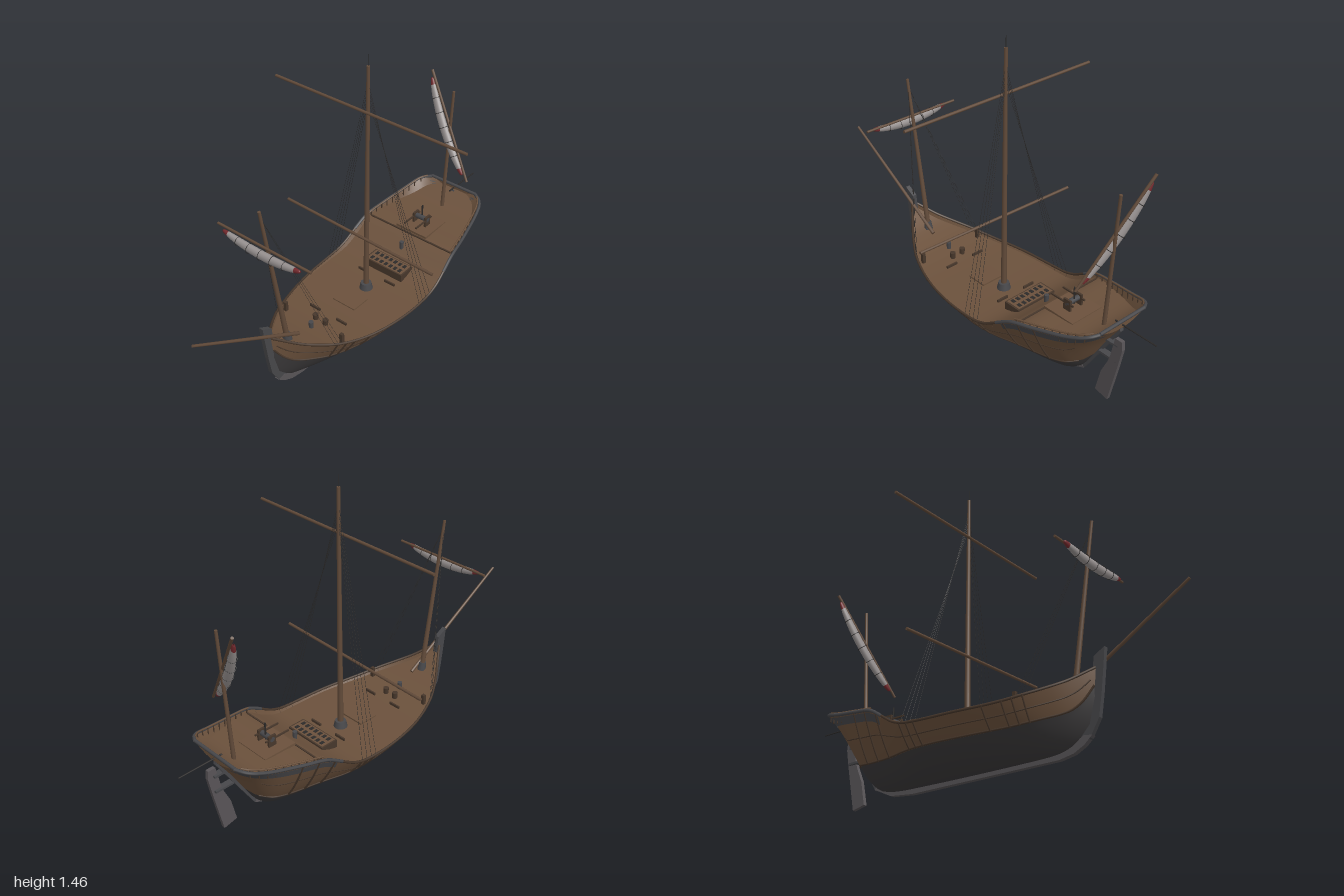
import * as THREE from 'three';

const mat = (name, color) => {
  const m = new THREE.MeshStandardMaterial({ color, side: THREE.DoubleSide });
  m.name = name;
  return m;
};
const M = {
  plank: mat('plank brown', 0x6b513c),
  spar: mat('spar brown', 0x614a39),
  trim: mat('dark brown trim', 0x47372b),
  tar: mat('tarred hull', 0x3b393a),
  band: mat('charcoal band', 0x47474a),
  keel: mat('keel grey', 0x585457),
  sail: mat('sail canvas', 0x989291),
  red: mat('sail red', 0x752a2e),
  rope: mat('rope black', 0x2c2a29),
};
const V = (x, y, z) => new THREE.Vector3(x, y, z);

// Smooth interpolation through [position, value] keys
function keyed(keys) {
  const slope = (i, j) => (keys[j][1] - keys[i][1]) / (keys[j][0] - keys[i][0]);
  const n = keys.length - 1;
  return z => {
    z = Math.min(Math.max(z, keys[0][0]), keys[n][0]);
    let i = 0;
    while (i < n - 1 && z > keys[i + 1][0]) i++;
    const h = keys[i + 1][0] - keys[i][0], t = (z - keys[i][0]) / h;
    const m0 = slope(Math.max(i - 1, 0), i + 1) * h, m1 = slope(i, Math.min(i + 2, n)) * h;
    const t2 = t * t, t3 = t2 * t;
    return (2 * t3 - 3 * t2 + 1) * keys[i][1] + (t3 - 2 * t2 + t) * m0
      + (3 * t2 - 2 * t3) * keys[i + 1][1] + (t3 - t2) * m1;
  };
}

// Hull lines along z: half beam, bottom, sheer, tar line, deck and fullness
const STERN = -0.82, BOW = 0.58;
const beamAt = keyed([[-0.82, 0.13], [-0.8, 0.165], [-0.76, 0.195], [-0.6, 0.235], [-0.45, 0.262], [-0.28, 0.279], [-0.05, 0.277], [0.13, 0.25], [0.31, 0.19], [0.42, 0.125], [0.5, 0.065], [0.58, 0.004]]);
const bottom = keyed([[-0.82, 0.39], [-0.75, 0.285], [-0.68, 0.165], [-0.62, 0.075], [-0.55, 0.042], [-0.4, 0.03], [0.3, 0.03], [0.42, 0.04], [0.5, 0.08], [0.55, 0.16], [0.58, 0.28]]);
const sheer = keyed([[-0.82, 0.422], [-0.7, 0.385], [-0.55, 0.355], [-0.43, 0.33], [-0.35, 0.285], [-0.28, 0.243], [-0.2, 0.222], [0, 0.217], [0.25, 0.233], [0.45, 0.29], [0.58, 0.365]]);
const tarKey = keyed([[-0.82, 0.2], [-0.65, 0.155], [-0.5, 0.135], [-0.2, 0.128], [0.2, 0.132], [0.4, 0.16], [0.5, 0.2], [0.58, 0.31]]);
const deckKey = keyed([[-0.82, 0.4], [-0.72, 0.35], [-0.6, 0.335], [-0.45, 0.322], [-0.36, 0.265], [-0.28, 0.222], [-0.2, 0.207], [0, 0.205], [0.25, 0.218], [0.45, 0.268], [0.58, 0.34]]);
const fullness = keyed([[-0.82, 0.5], [-0.6, 0.5], [-0.4, 0.46], [0, 0.45], [0.3, 0.52], [0.45, 0.65], [0.58, 0.8]]);
const tarLine = z => Math.max(tarKey(z), bottom(z));
const hullX = (z, y) => {
  const t = Math.max(0, (y - bottom(z)) / (sheer(z) - bottom(z)));
  return beamAt(z) * Math.pow(t, fullness(z));
};
const zAt = u => STERN + (BOW - STERN) * (0.5 - 0.5 * Math.cos(Math.PI * u));

// Surface from rows of cross-sections
function grid(nu, nv, f) {
  const pos = [], idx = [];
  for (let i = 0; i <= nu; i++) for (let j = 0; j <= nv; j++) pos.push(...f(i / nu, j / nv));
  for (let i = 0; i < nu; i++) for (let j = 0; j < nv; j++) {
    const a = i * (nv + 1) + j, b = a + nv + 1;
    idx.push(a, b, a + 1, b, b + 1, a + 1);
  }
  const g = new THREE.BufferGeometry();
  g.setAttribute('position', new THREE.Float32BufferAttribute(pos, 3));
  g.setIndex(idx);
  g.computeVertexNormals();
  return g;
}

export function createModel() {
  const ship = new THREE.Group();
  ship.name = 'sailingShip';
  const add = (name, geo, m, parent = ship) => {
    const mesh = new THREE.Mesh(geo, m);
    mesh.name = name;
    parent.add(mesh);
    return mesh;
  };
  const beam = (name, a, b, r0, r1, m, sides = 10) => {
    const mesh = add(name, new THREE.CylinderGeometry(r1, r0, a.distanceTo(b), sides), m);
    mesh.position.copy(a).lerp(b, 0.5);
    mesh.quaternion.setFromUnitVectors(V(0, 1, 0), b.clone().sub(a).normalize());
  };
  const box = (name, x, y, z, w, h, d, m) => add(name, new THREE.BoxGeometry(w, h, d), m).position.set(x, y, z);
  const tube = (name, pts, r, m) => add(name, new THREE.TubeGeometry(new THREE.CatmullRomCurve3(pts), pts.length * 3, r, 6), m);
  const along = (n, z0, z1, f) => Array.from({ length: n + 1 }, (_, i) => f(z0 + (z1 - z0) * i / n));

  // Hull shell, deck and transom
  add('lowerHull', grid(70, 24, (u, v) => {
    const z = zAt(u), s = v * 2 - 1, b = bottom(z), y = b + (tarLine(z) - b) * s * s;
    return [Math.sign(s) * hullX(z, y), y, z];
  }), M.tar);
  for (const s of [-1, 1]) add('upperHull', grid(70, 12, (u, v) => {
    const z = zAt(u), a = tarLine(z), y = a + (sheer(z) - a) * v * v;
    return [s * hullX(z, y), y, z];
  }), M.plank);
  add('deck', grid(70, 2, (u, v) => {
    const z = zAt(u), y = deckKey(z);
    return [(v * 2 - 1) * hullX(z, y), y, z];
  }), M.plank);
  add('transom', grid(8, 2, (u, v) => {
    const y = 0.39 + 0.032 * u;
    return [(v * 2 - 1) * hullX(STERN, y), y, STERN];
  }), M.plank);

  // Wales, gunwales, stern bands, ribs and stern railing
  for (const s of [-1, 1]) {
    const onHull = (z, y, out = 0) => V(s * (hullX(z, y) + out), y, z);
    tube('gunwale', along(30, -0.35, 0.57, z => onHull(z, sheer(z))), 0.006, M.trim);
    tube('sternGunwale', along(24, -0.818, -0.35, z => onHull(z, sheer(z))), 0.008, M.band);
    tube('wale', along(30, -0.66, 0.56, z => onHull(z, tarLine(z) + 0.004)), 0.005, M.trim);
    tube('upperWale', along(30, -0.7, 0.55, z => onHull(z, tarLine(z) * 0.5 + sheer(z) * 0.5)), 0.003, M.trim);
    add('sternBand', grid(24, 3, (u, v) => {
      const z = -0.815 + 0.44 * u, y = Math.max(sheer(z) - 0.012 - 0.034 * v, bottom(z) + 0.004);
      return onHull(z, y, 0.005).toArray();
    }), M.band);
    for (const z of [0.33, 0.29, 0.25, 0.17, -0.16, -0.2, -0.24, -0.39, -0.47, -0.55]) {
      const a = tarLine(z);
      tube('hullRib', along(6, 0, 1, v => onHull(z, a + (sheer(z) - a) * v, 0.004)), 0.004, M.trim);
    }
    for (let i = 0; i < 10; i++) {
      const z = -0.45 - i * 0.036, x = s * (hullX(z, sheer(z)) - 0.012);
      beam('railPost', V(x, deckKey(z), z), V(x, sheer(z) + 0.012, z), 0.003, 0.003, M.trim, 6);
    }
    tube('sternRail', along(16, -0.8, -0.44, z => V(s * (hullX(z, sheer(z)) - 0.012), sheer(z) + 0.012, z)), 0.004, M.plank);
    box('cathead', s * 0.17, 0.25, 0.285, 0.016, 0.05, 0.016, M.trim);
  }
  beam('taffrail', V(-0.135, 0.424, -0.818), V(0.135, 0.424, -0.818), 0.008, 0.008, M.band);
  box('quarterdeckEdge', 0, 0.324, -0.45, 0.49, 0.006, 0.008, M.trim);

  // Flat side profiles given as [z, y] points
  const profile = (name, pts, thick, x, m) => {
    const shape = new THREE.Shape(pts.map(p => new THREE.Vector2(...p)));
    const g = new THREE.ExtrudeGeometry(shape, { depth: thick, bevelEnabled: false });
    g.translate(0, 0, -thick / 2).rotateY(-Math.PI / 2);
    add(name, g, m).position.x = x;
  };
  profile('stem', [[0.616, 0.44], [0.563, 0.41], [0.553, 0.33], [0.56, 0.24], [0.53, 0.13], [0.45, 0.045], [0.47, 0.035], [0.53, 0.075], [0.575, 0.15], [0.592, 0.25], [0.608, 0.37]], 0.022, 0, M.band);
  profile('keel', [[0.54, 0.085], [0.5, 0.05], [0.45, 0.025], [0.38, 0.012], [-0.4, 0.008], [-0.53, 0.02], [-0.63, 0.065], [-0.62, 0.09], [-0.53, 0.045], [-0.4, 0.036], [0.3, 0.036], [0.42, 0.046], [0.5, 0.09]], 0.024, 0, M.keel);
  profile('sternPost', [[-0.61, 0.08], [-0.63, 0.062], [-0.7, 0.175], [-0.82, 0.372], [-0.81, 0.4], [-0.68, 0.18]], 0.02, 0, M.band);
  profile('rudder', [[-0.81, 0.343], [-0.848, 0.343], [-0.852, 0.3], [-0.835, 0.21], [-0.79, 0], [-0.72, 0.016], [-0.745, 0.13], [-0.777, 0.2], [-0.79, 0.24]], 0.018, 0.02, M.keel);
  for (const y of [0.225, 0.305]) box('rudderBracket', 0.014, y, -0.775, 0.03, 0.01, 0.1, M.band);
  beam('sternBoom', V(0, 0.405, -0.78), V(0, 0.402, -1), 0.004, 0.003, M.rope, 6);

  // Masts, bowsprit and yards
  beam('mainMast', V(0, 0.19, -0.1), V(0, 1.4, -0.1), 0.014, 0.008, M.spar);
  beam('mastPole', V(0, 1.4, -0.1), V(0, 1.455, -0.1), 0.0015, 0.001, M.rope, 5);
  beam('mastCollar', V(0, 0.2, -0.1), V(0, 0.235, -0.1), 0.034, 0.026, M.band, 14);
  beam('foreMast', V(0, 0.25, 0.455), V(0, 1.035, 0.58), 0.013, 0.007, M.spar);
  beam('foreMastCollar', V(0, 0.265, 0.457), V(0, 0.305, 0.463), 0.022, 0.018, M.band);
  beam('mizzenMast', V(0, 0.33, -0.72), V(0, 0.995, -0.76), 0.01, 0.007, M.spar);
  beam('bowsprit', V(0.015, 0.27, 0.4), V(0.015, 0.632, 1), 0.009, 0.006, M.spar);
  beam('topYard', V(-0.52, 1.185, -0.085), V(0.52, 1.185, -0.085), 0.007, 0.007, M.spar);
  beam('mainYard', V(-0.45, 0.55, -0.055), V(0.425, 0.55, -0.03), 0.007, 0.007, M.spar);
  beam('foreYard', V(-0.265, 0.848, 0.565), V(0.255, 0.848, 0.565), 0.006, 0.006, M.spar);
  beam('mizzenYard', V(-0.158, 1.045, -0.8), V(0.155, 0.575, -0.69), 0.007, 0.006, M.spar);

  // Furled sails: sagging rolls with red ends
  function furledSail(name, centre, dir, half) {
    const g = new THREE.Group();
    g.name = name;
    for (const [a, b, m] of [[-1, -0.86, M.red], [-0.86, 0.86, M.sail], [0.86, 1, M.red]]) {
      add('sailRoll', grid(16, 12, (u, v) => {
        const s = a + (b - a) * u, r = 0.004 + 0.018 * Math.sqrt(Math.max(0, 1 - s * s)), t = v * Math.PI * 2;
        return [s * half, r * Math.cos(t) - 0.033 + 0.022 * s * s, 0.8 * r * Math.sin(t)];
      }), m, g);
    }
    for (const s of [-0.6, -0.3, 0, 0.3, 0.6]) {
      const tie = add('sailTie', new THREE.TorusGeometry(0.021 * Math.sqrt(1 - s * s) + 0.003, 0.0015, 4, 12), M.rope, g);
      tie.position.set(s * half, -0.033 + 0.022 * s * s, 0);
      tie.rotation.y = Math.PI / 2;
    }
    const x = dir.normalize(), y = V(0, 0, 1).cross(x).normalize(), z = x.clone().cross(y);
    g.quaternion.setFromRotationMatrix(new THREE.Matrix4().makeBasis(x, y, z));
    g.position.copy(centre);
    ship.add(g);
  }
  furledSail('foreSail', V(-0.005, 0.85, 0.58), V(1, 0, 0), 0.215);
  furledSail('mizzenSail', V(-0.006, 0.81, -0.742), V(0.313, -0.47, 0.11), 0.25);

  // Shrouds
  for (const s of [-1, 1]) for (let i = 0; i < 4; i++) {
    const z = -0.15 - i * 0.028, zf = 0.34 - i * 0.017;
    beam('mainShroud', V(0, 1.33 - i * 0.03, -0.1), V(s * hullX(z, sheer(z)), sheer(z), z), 0.0008, 0.0008, M.rope, 4);
    if (i < 3) beam('foreShroud', V(0, 1.0, 0.575), V(s * hullX(zf, sheer(zf)), sheer(zf), zf), 0.0008, 0.0008, M.rope, 4);
  }

  // Deck fittings: grating, hatches, windlass, bitts and pin rails
  box('hatchCoaming', 0, 0.23, -0.275, 0.225, 0.04, 0.09, M.trim);
  box('hatchCover', 0, 0.248, -0.275, 0.21, 0.008, 0.078, M.plank);
  for (let i = 0; i < 7; i++) for (const z of [-0.295, -0.255])
    box('gratingHole', -0.084 + i * 0.028, 0.2525, z, 0.016, 0.002, 0.022, M.rope);
  box('foreHatch', 0, 0.208, 0.02, 0.13, 0.008, 0.1, M.plank);
  box('aftHatch', 0, 0.335, -0.54, 0.18, 0.012, 0.17, M.plank);
  for (const x of [-0.035, 0.035]) {
    box('windlassPost', x, 0.365, -0.54, 0.01, 0.06, 0.04, M.trim);
    box('windlassFrame', x, 0.375, -0.51, 0.007, 0.007, 0.13, M.trim);
    beam('bitt', V(x * 0.85, 0.2, 0.235), V(x * 0.85, 0.245, 0.235), 0.012, 0.014, M.trim);
  }
  beam('windlassDrum', V(-0.04, 0.375, -0.54), V(0.04, 0.375, -0.54), 0.013, 0.013, M.band);
  beam('windlassPin', V(0, 0.36, -0.545), V(0, 0.445, -0.545), 0.004, 0.004, M.rope, 6);
  beam('aftBollard', V(0, 0.26, -0.38), V(0, 0.315, -0.38), 0.009, 0.011, M.band);
  beam('foreBollard', V(0, 0.21, 0.3), V(0, 0.26, 0.3), 0.01, 0.012, M.band);
  for (const z of [-0.18, 0.18]) for (const x of [-0.08, 0.08])
    box('pinRail', x, 0.222, z, 0.06, 0.012, 0.008, M.trim);

  return ship;
}
